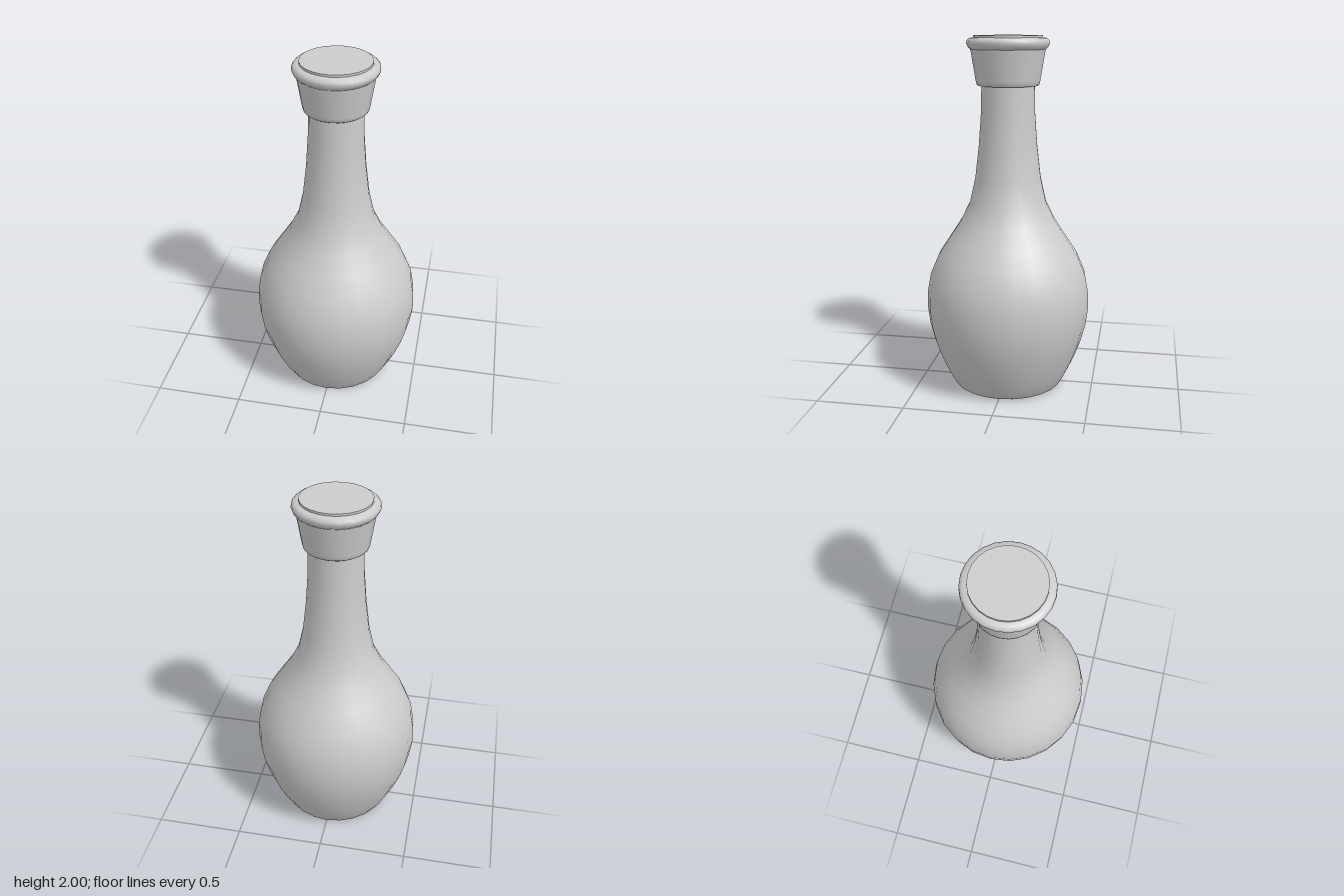
import * as THREE from 'three';

const SIDES = 24;

export function createModel() {
  const model = new THREE.Group();
  model.name = 'bottle';
  const grey = new THREE.MeshStandardMaterial({ color: 0xcccccc });
  grey.name = 'grey';

  // Revolves a [radius, height] profile, listed from the underside upwards
  const turn = (name, profile) => {
    const points = profile.map(([r, y]) => new THREE.Vector2(r, y));
    const mesh = new THREE.Mesh(new THREE.LatheGeometry(points, SIDES), grey);
    mesh.name = name;
    model.add(mesh);
  };

  // Recessed underside: flat floor and sloping ring
  turn('baseRecess', [[0, 0.035], [0.2, 0.035]]);
  turn('baseRing', [[0.2, 0.035], [0.25, 0.025], [0.285, 0.005], [0.3, 0]]);

  // Round belly flowing into the narrow neck
  turn('body', [
    [0.3, 0], [0.315, 0.008], [0.35, 0.07], [0.392, 0.16], [0.43, 0.265],
    [0.455, 0.36], [0.468, 0.46], [0.465, 0.56], [0.447, 0.66], [0.4, 0.77],
    [0.335, 0.87], [0.27, 0.97], [0.216, 1.08], [0.185, 1.22], [0.164, 1.4],
    [0.151, 1.58], [0.147, 1.75],
  ]);

  // Tapered stopper with a rolled lip
  turn('stopperUnderside', [[0.13, 1.73], [0.165, 1.73]]);
  turn('stopperSide', [[0.165, 1.73], [0.174, 1.737], [0.179, 1.76], [0.206, 1.925]]);
  turn('stopperLip', [
    [0.206, 1.925], [0.219, 1.936], [0.228, 1.955], [0.226, 1.972],
    [0.213, 1.985], [0.19, 1.988],
  ]);

  // Flat cap disc on the stopper
  turn('capEdge', [[0.19, 1.98], [0.19, 2]]);
  turn('capTop', [[0.19, 2], [0, 2]]);

  return model;
}
